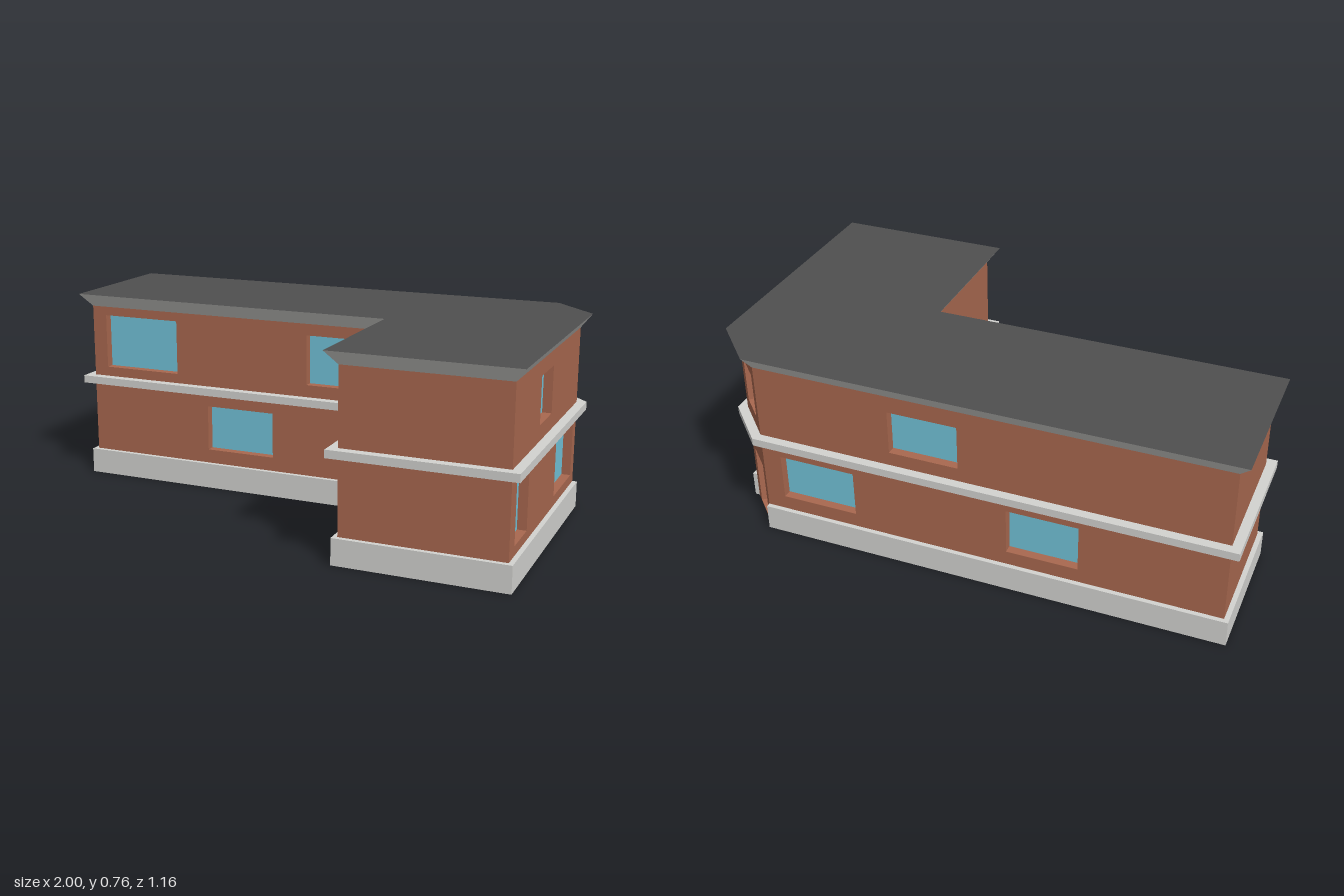
import * as THREE from 'three';

const material = (name, color) => {
  const m = new THREE.MeshStandardMaterial({ color, side: THREE.DoubleSide });
  m.name = name;
  return m;
};

// L-shaped wall outline as [x, z], with one chamfered corner for the entrance
const outline = [
  [-0.96, -0.04], [0.36, -0.04], [0.36, 0.545], [0.96, 0.545],
  [0.96, -0.39], [0.815, -0.54], [-0.96, -0.54],
];

// Openings per wall: [start along wall, end along wall, bottom, top]
const openings = {
  0: [[0.06, 0.385, 0.455, 0.67], [0.95, 1.255, 0.465, 0.66], [0.52, 0.805, 0.155, 0.335]],
  3: [[0.345, 0.515, 0.475, 0.648], [0.065, 0.225, 0.135, 0.353], [0.615, 0.89, 0.137, 0.35]],
  4: [[0.042, 0.167, 0.472, 0.65], [0.042, 0.171, 0.003, 0.253]],
  5: [[0.53, 0.795, 0.47, 0.64], [0.075, 0.375, 0.155, 0.335], [0.975, 1.245, 0.155, 0.335]],
};
const ENTRANCE = 4, BASE_TOP = 0.1, WALL_TOP = 0.705, RECESS = 0.034;

// Moves every edge of the outline outward by d, with mitred corners
function offset(points, d) {
  const n = points.length;
  const normal = (i) => {
    const [ax, az] = points[i], [bx, bz] = points[(i + 1) % n];
    const len = Math.hypot(bx - ax, bz - az);
    return [-(bz - az) / len, (bx - ax) / len];
  };
  return points.map(([x, z], i) => {
    const p = normal((i + n - 1) % n), q = normal(i);
    const k = d / (1 + p[0] * q[0] + p[1] * q[1]);
    return [x + (p[0] + q[0]) * k, z + (p[1] + q[1]) * k];
  });
}

const toShape = (points) => new THREE.Shape(points.map(([x, z]) => new THREE.Vector2(x, -z)));

// Flat-sided band joining two closed loops of [x, y, z] points
function band(lower, upper) {
  const pos = [], n = lower.length;
  for (let i = 0; i < n; i++) {
    const j = (i + 1) % n;
    pos.push(...lower[i], ...lower[j], ...upper[j], ...lower[i], ...upper[j], ...upper[i]);
  }
  const g = new THREE.BufferGeometry();
  g.setAttribute('position', new THREE.Float32BufferAttribute(pos, 3));
  g.computeVertexNormals();
  return g;
}

function slab(shape, y0, y1) {
  const g = new THREE.ExtrudeGeometry(shape, { depth: y1 - y0, bevelEnabled: false });
  return g.rotateX(-Math.PI / 2).translate(0, y0, 0);
}

export function createModel() {
  const brick = material('brick', 0xa9684f);
  const stone = material('paleStone', 0xd3d3d0);
  const glass = material('windowGlass', 0x72c3d9);
  const roofing = material('darkRoofing', 0x505050);
  const black = material('doorBlack', 0x0b0b0b);

  const model = new THREE.Group();
  model.name = 'house';
  const add = (parent, name, geometry, mat) => {
    const mesh = new THREE.Mesh(geometry, mat);
    mesh.name = name;
    parent.add(mesh);
  };

  // Walls with recessed windows and the entrance door
  outline.forEach(([ax, az], i) => {
    const [bx, bz] = outline[(i + 1) % outline.length];
    const length = Math.hypot(bx - ax, bz - az);
    const bottom = i === ENTRANCE ? 0 : BASE_TOP;
    const wall = new THREE.Group();
    wall.name = 'wall' + (i + 1);
    wall.position.set(ax, 0, az);
    wall.rotation.y = Math.atan2(az - bz, bx - ax);
    model.add(wall);

    const rect = (u0, u1, y0, y1) => [[u0, y0], [u1, y0], [u1, y1], [u0, y1]];
    const vectors = (pts) => pts.map(([u, y]) => new THREE.Vector2(u, y));
    const face = new THREE.Shape(vectors(rect(0, length, bottom, WALL_TOP)));
    for (const [u0, u1, y0, y1] of openings[i] || []) {
      const corners = rect(u0, u1, y0, y1);
      face.holes.push(new THREE.Path(vectors(corners)));
      const isDoor = y0 < 0.05;
      add(wall, isDoor ? 'doorReveal' : 'windowReveal', band(
        corners.map(([u, y]) => [u, y, 0]),
        corners.map(([u, y]) => [u, y, -RECESS])), brick);
      const pane = new THREE.PlaneGeometry(u1 - u0, y1 - y0);
      pane.translate((u0 + u1) / 2, (y0 + y1) / 2, -RECESS);
      add(wall, isDoor ? 'door' : 'windowPane', pane, isDoor ? black : glass);
    }
    add(wall, 'wallFace', new THREE.ShapeGeometry(face), brick);
  });

  // Stone base, left open at the entrance
  const baseOuter = offset(outline, 0.018);
  const [right, back] = [outline[ENTRANCE], outline[ENTRANCE + 1]];
  const baseLoop = [
    back, [back[0], back[1] - 0.018], baseOuter[6], ...baseOuter.slice(0, 4),
    [right[0] + 0.018, right[1]], right,
    ...outline.slice(0, 4).reverse(), outline[6],
  ];
  add(model, 'base', slab(toShape(baseLoop), 0, BASE_TOP), stone);

  // Belt course between the floors
  const belt = toShape(offset(outline, 0.035));
  belt.holes.push(toShape(outline));
  add(model, 'beltCourse', slab(belt, 0.387, 0.417), stone);

  // Flared eaves and flat roof
  const eaves = offset(outline, 0.04);
  const at = (points, y) => points.map(([x, z]) => [x, y, z]);
  add(model, 'eaves', band(at(outline, WALL_TOP), at(eaves, 0.757)), stone);
  const roof = new THREE.ShapeGeometry(toShape(eaves));
  add(model, 'roof', roof.rotateX(-Math.PI / 2).translate(0, 0.757, 0), roofing);

  return model;
}
